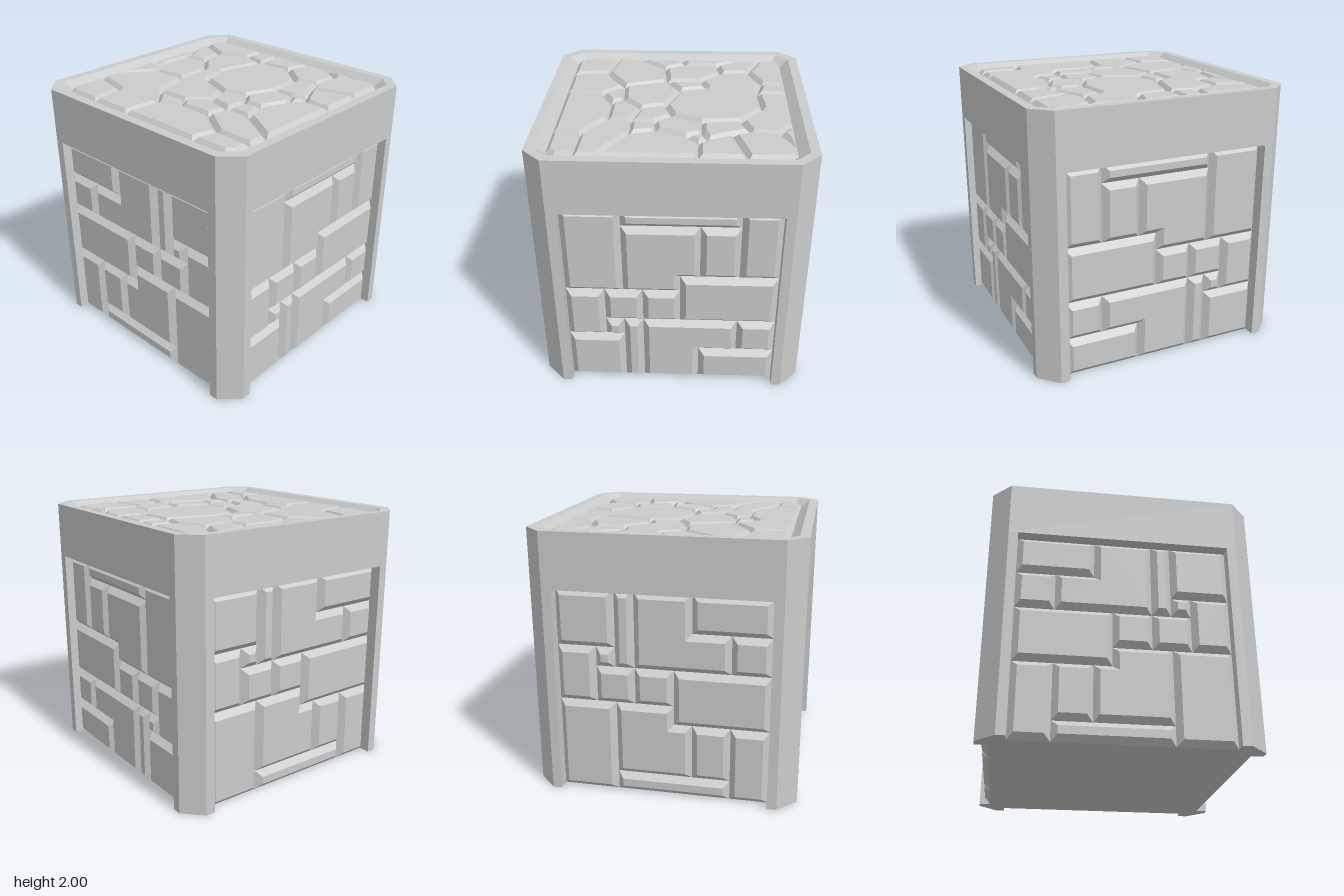
import * as THREE from 'three';

const stone = new THREE.MeshStandardMaterial({ color: 0xcccccc, flatShading: true });
const HALF = 1, RECESS = 0.91, FIELD = 0.79, LINTEL = 1.58, FLOOR = 1.945;

function makeMesh(positions, name) {
  const g = new THREE.BufferGeometry();
  g.setAttribute('position', new THREE.Float32BufferAttribute(positions, 3));
  g.computeVertexNormals();
  const mesh = new THREE.Mesh(g, stone);
  mesh.name = name;
  return mesh;
}

// Stone with sloped edges: polygon in the xy plane, rising along z from z0 by height
function bevelledStone(outline, bevel, z0, height, name) {
  let pts = outline.map(([x, y]) => new THREE.Vector2(x, y));
  if (THREE.ShapeUtils.isClockWise(pts)) pts = pts.reverse();
  const n = pts.length;
  const normals = pts.map((p, i) => {
    const d = pts[(i + 1) % n].clone().sub(p).normalize();
    return new THREE.Vector2(-d.y, d.x);
  });
  const inner = pts.map((p, i) => {
    const a = normals[(i + n - 1) % n], b = normals[i];
    return p.clone().addScaledVector(a.clone().add(b), bevel / (1 + a.dot(b)));
  });
  const out = [], z1 = z0 + height;
  for (let i = 0; i < n; i++) {
    const j = (i + 1) % n, a = pts[i], b = pts[j], c = inner[j], d = inner[i];
    out.push(a.x, a.y, z0, b.x, b.y, z0, c.x, c.y, z1);
    out.push(a.x, a.y, z0, c.x, c.y, z1, d.x, d.y, z1);
  }
  for (const tri of THREE.ShapeUtils.triangulateShape(inner, [])) {
    for (const k of tri) out.push(inner[k].x, inner[k].y, z1);
  }
  return makeMesh(out, name);
}

// Square with cut corners at height y
function octagon(h, c, y) {
  const e = h - c;
  return [[e, h], [h, e], [h, -e], [e, -h], [-e, -h], [-h, -e], [-h, e], [-e, h]].map(([x, z]) => [x, y, z]);
}

// Upper block: outer wall, rim, sloped inner wall and sunken floor
function upperBlock() {
  const rings = [octagon(HALF, 0.14, LINTEL), octagon(HALF, 0.14, 2), octagon(0.93, 0.1, 2), octagon(0.86, 0.06, FLOOR)];
  const out = [];
  for (let r = 0; r < 3; r++) {
    for (let i = 0; i < 8; i++) {
      const j = (i + 1) % 8, [lo, hi] = [rings[r], rings[r + 1]];
      out.push(...lo[i], ...lo[j], ...hi[j], ...lo[i], ...hi[j], ...hi[i]);
    }
  }
  for (let i = 0; i < 8; i++) {
    const j = (i + 1) % 8;
    out.push(...rings[3][i], ...rings[3][j], 0, FLOOR, 0);
    out.push(...rings[0][j], ...rings[0][i], 0, LINTEL, 0);
  }
  return makeMesh(out, 'rimBlock');
}

// Lower block: corner posts with a recess in each side
function lowerBlock() {
  const side = [[-0.86, HALF], [-FIELD, HALF], [-FIELD, RECESS], [FIELD, RECESS], [FIELD, HALF], [0.86, HALF]];
  const pts = [];
  for (let k = 0; k < 4; k++) {
    const c = Math.round(Math.cos(k * Math.PI / 2)), s = Math.round(Math.sin(k * Math.PI / 2));
    for (const [x, y] of side) pts.push(new THREE.Vector2(x * c + y * s, y * c - x * s));
  }
  const g = new THREE.ExtrudeGeometry(new THREE.Shape(pts), { depth: LINTEL, bevelEnabled: false });
  g.rotateX(-Math.PI / 2);
  const mesh = new THREE.Mesh(g, stone);
  mesh.name = 'cornerPostsAndCore';
  return mesh;
}

const rect = (x0, x1, y0, y1) => [[x0, y0], [x1, y0], [x1, y1], [x0, y1]];

// Brick layouts, as seen from outside
const layoutA = [
  rect(-0.79, -0.215, 1.29, 1.58), rect(-0.79, -0.5, 1, 1.29),
  [[-0.5, 1], [0.21, 1], [0.21, 1.58], [-0.215, 1.58], [-0.215, 1.29], [-0.5, 1.29]],
  rect(0.21, 0.355, 1, 1.58), rect(0.355, 0.79, 1.15, 1.58),
  rect(0.355, 0.5, 1, 1.15), rect(0.5, 0.79, 0.72, 1.15),
  rect(-0.79, -0.08, 0.575, 1), rect(-0.08, 0.21, 0.72, 1), rect(0.21, 0.5, 0.72, 1),
  rect(-0.79, -0.5, 0, 0.575), rect(-0.5, -0.215, 0.15, 0.575),
  [[-0.215, 0.15], [0.355, 0.15], [0.355, 0.72], [-0.08, 0.72], [-0.08, 0.575], [-0.215, 0.575]],
  rect(0.355, 0.79, 0, 0.72), rect(-0.5, 0.355, 0, 0.15),
];
const layoutB = [
  rect(-0.79, -0.36, 0.865, 1.58), rect(-0.36, 0.5, 1.44, 1.58), rect(0.5, 0.79, 1, 1.58),
  [[-0.36, 0.865], [0.065, 0.865], [0.065, 1], [0.21, 1], [0.21, 1.44], [-0.36, 1.44]],
  rect(0.21, 0.5, 1, 1.44), rect(-0.79, -0.5, 0.43, 0.865),
  rect(-0.5, -0.215, 0.58, 0.865), rect(-0.215, 0.065, 0.58, 0.865), rect(0.065, 0.79, 0.58, 1),
  rect(-0.5, -0.36, 0.43, 0.58), rect(-0.79, -0.36, 0, 0.43), rect(-0.36, -0.215, 0, 0.58),
  [[-0.215, 0], [0.21, 0], [0.21, 0.29], [0.5, 0.29], [0.5, 0.58], [-0.215, 0.58]],
  rect(0.5, 0.79, 0.29, 0.58), rect(0.21, 0.79, 0, 0.29),
];

function brickWall(layout, mirror, turn, name) {
  const wall = new THREE.Group();
  wall.name = name;
  for (const outline of layout) {
    wall.add(bevelledStone(outline.map(([x, y]) => [x * mirror, y]), 0.045, RECESS, 0.045, 'brick'));
  }
  wall.rotation.y = turn;
  return wall;
}

// Paving joints (x, z): inner corners, then points along the border
const joints = {
  B: [-0.6, -0.575], C: [-0.37, -0.675], D: [-0.175, -0.63], E: [0.1, -0.655], F: [0.305, -0.49],
  G: [0.475, -0.555], H: [0.5, -0.765], I: [0.52, -0.425], J: [0.335, -0.2], K: [0.5, -0.205],
  L: [0.6, -0.25], M: [0.65, -0.18], N: [0.565, -0.095], O: [0.48, 0.125], P: [0.34, 0.145],
  Q: [0.235, 0.015], R: [0.055, 0.075], S: [-0.22, -0.03], T: [-0.275, -0.245], U: [-0.405, -0.185],
  V: [-0.57, -0.355], W: [-0.735, -0.32], X: [-0.76, -0.065], Y: [-0.665, 0.11], Z: [-0.395, 0.08],
  a: [-0.285, 0.415], b: [-0.555, 0.58], c: [-0.14, 0.575], d: [0.03, 0.49], e: [-0.04, 0.4],
  f: [0.11, 0.26], g: [0.325, 0.318], i: [0.53, 0.315], j: [0.3, 0.49], k: [0.555, 0.66],
  A: [-0.86, -0.685], 1: [-0.345, -0.86], 2: [-0.175, -0.86], 3: [0.16, -0.86], 4: [0.34, -0.86],
  5: [0.68, -0.86], 6: [0.86, -0.52], 7: [0.86, -0.18], 8: [0.86, 0.51], 9: [0.86, 0.67],
  l: [0.51, 0.86], m: [-0.17, 0.86], n: [-0.515, 0.86], o: [-0.86, 0.515], p: [-0.86, 0.35],
  q: [-0.86, -0.015], r: [-0.86, -0.525], s: [-0.86, -0.8], t: [-0.8, -0.86], u: [0.8, -0.86],
  v: [0.86, -0.8], w: [0.86, 0.8], x: [0.8, 0.86], y: [-0.8, 0.86], z: [-0.86, 0.8],
};
// Each paving stone lists its joints in order
const pavers = ('ABC1ts CD21 DE32 EFGH43 4H5 HGI6vu5 ILM76 FJKLIG KLMN DEFJQRST JKNOPQ M78iON POig ' +
  'gi89kj k9wxl cdjklm efgjd aedc fRQPg ZSRfea TSZU BCDTUV ABVWr WXqr XYpq VUZYXW YZabop obnyz abnmc').split(' ');

function paving() {
  const top = new THREE.Group();
  top.name = 'paving';
  for (const cell of pavers) {
    const outline = [...cell].map((key) => [joints[key][0], -joints[key][1]]);
    top.add(bevelledStone(outline, 0.033, FLOOR, 0.035, 'pavingStone'));
  }
  top.rotation.x = -Math.PI / 2;
  return top;
}

export function createModel() {
  const model = new THREE.Group();
  model.name = 'stoneBlock';
  model.add(lowerBlock(), upperBlock(), paving());
  model.add(brickWall(layoutA, 1, 0, 'frontBricks'));
  model.add(brickWall(layoutB, 1, Math.PI / 2, 'leftBricks'));
  model.add(brickWall(layoutB, -1, Math.PI, 'backBricks'));
  model.add(brickWall(layoutA, -1, -Math.PI / 2, 'rightBricks'));
  return model;
}
